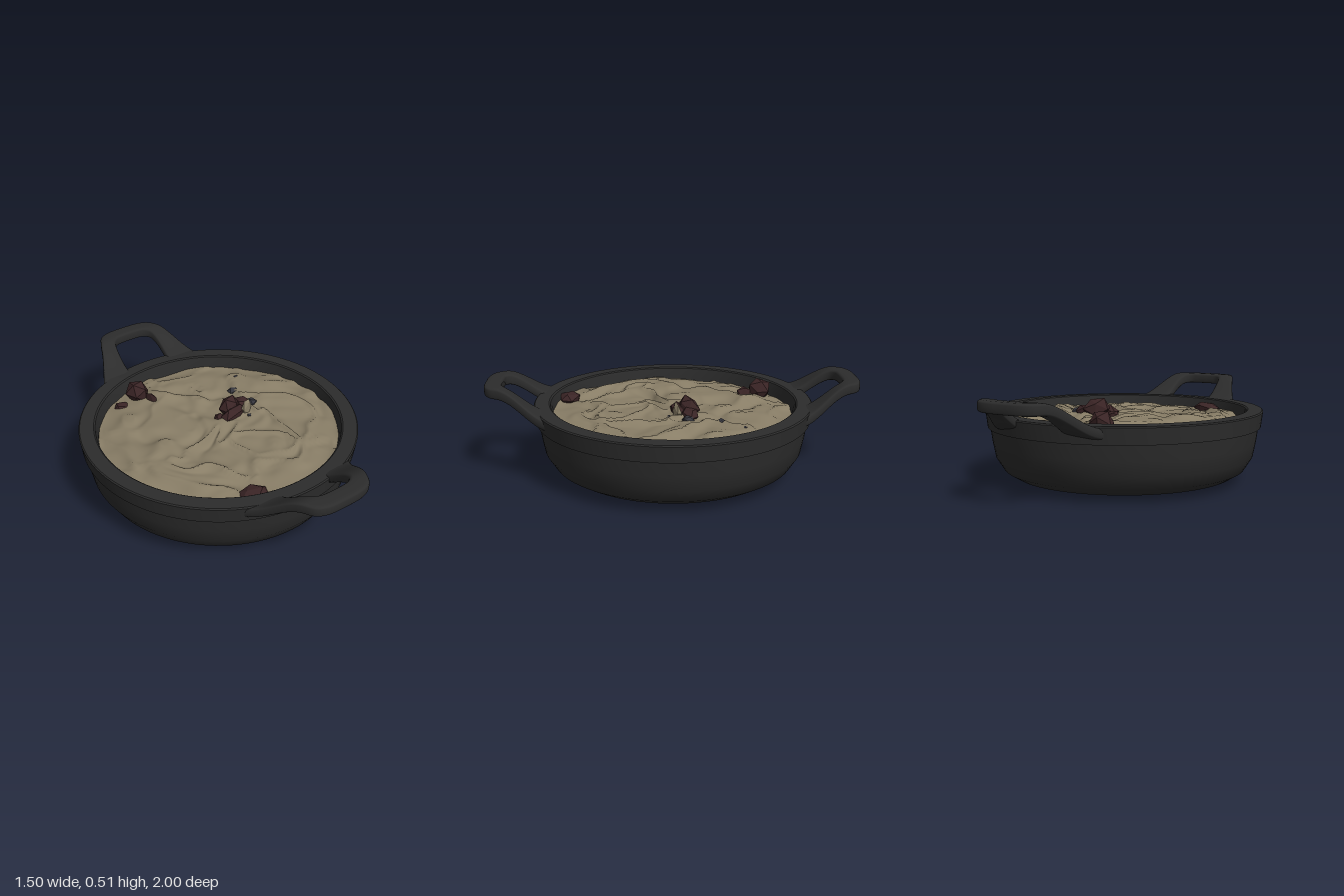
import * as THREE from 'three';
import { mergeVertices, toCreasedNormals } from 'three/addons/utils/BufferGeometryUtils.js';

const mat = (name, color, extra = {}) => {
  const m = new THREE.MeshStandardMaterial({ color, ...extra });
  m.name = name;
  return m;
};

function part(name, geometry, material) {
  const mesh = new THREE.Mesh(geometry, material);
  mesh.name = name;
  return mesh;
}

// Repeatable pseudo-random value for a lattice point
const hash = (x, y, z = 0) => {
  const s = Math.sin(x * 127.1 + y * 311.7 + z * 74.7) * 43758.5453;
  return s - Math.floor(s);
};

// Smooth value noise, 0..1
function noise(x, y) {
  const i = Math.floor(x), j = Math.floor(y);
  const u = THREE.MathUtils.smoothstep(x - i, 0, 1);
  const v = THREE.MathUtils.smoothstep(y - j, 0, 1);
  const lerp = THREE.MathUtils.lerp;
  return lerp(lerp(hash(i, j), hash(i + 1, j), u), lerp(hash(i, j + 1), hash(i + 1, j + 1), u), v);
}

// Height of the lumpy stew surface: warped noise with soft creases, sinking at the back edge
function stewHeight(x, z) {
  const wx = x * 8 + 1.8 * noise(x * 6 + 9, z * 6);
  const wz = z * 8 + 1.8 * noise(x * 6, z * 6 + 17);
  const ridge = 1 - Math.abs(2 * noise(wx + 30, wz + 5) - 1);
  const rim = THREE.MathUtils.smoothstep(Math.hypot(x, z), 0.48, 0.65);
  const lumps = 0.034 * (noise(wx, wz) - 0.4) + 0.024 * ridge ** 3 + 0.014 * noise(wx * 2, wz * 2);
  return 0.329 - rim * (0.015 - 0.014 * z) + (1 - 0.5 * rim) * lumps;
}

// Pan body: outside, rim band, inside wall and floor in one turned profile
function panGeometry() {
  const profile = [
    [0, 0], [0.38, 0.002], [0.5, 0.012], [0.594, 0.032], [0.654, 0.068], [0.698, 0.138],
    [0.714, 0.22], [0.725, 0.297], [0.738, 0.299], [0.748, 0.382], [0.742, 0.388],
    [0.668, 0.39], [0.66, 0.384], [0.648, 0.33], [0.635, 0.2], [0.58, 0.08], [0.45, 0.045], [0, 0.045],
  ].map(([r, y]) => new THREE.Vector2(r, y));
  return toCreasedNormals(new THREE.LatheGeometry(profile, 96), 0.6);
}

// Loop handle: rounded sections strung between an outer and an inner outline
function handleGeometry() {
  const outline = (half) => {
    const mirrored = half.slice(0, -1).reverse().map(([x, z]) => [-x, z]);
    return new THREE.CatmullRomCurve3([...half, ...mirrored].map(([x, z]) => new THREE.Vector3(x, 0, z)));
  };
  const outer = outline([[0.345, 0.645], [0.29, 0.735], [0.237, 0.83], [0.2, 0.91], [0.166, 0.966], [0.11, 0.993], [0, 1]]);
  const inner = outline([[0.13, 0.68], [0.137, 0.75], [0.132, 0.83], [0.117, 0.878], [0.085, 0.902], [0.05, 0.907], [0, 0.908]]);
  const rise = (z) => 0.35 + 0.13 * THREE.MathUtils.smoothstep(z, 0.65, 0.92);
  const stations = 60, sides = 20, positions = [], index = [];
  const squash = (v) => Math.sign(v) * Math.abs(v) ** 0.45;
  for (let i = 0; i <= stations; i++) {
    const a = outer.getPoint(i / stations), b = inner.getPoint(i / stations);
    const mid = a.clone().add(b).multiplyScalar(0.5), reach = a.clone().sub(mid);
    for (let j = 0; j < sides; j++) {
      const t = (j / sides) * Math.PI * 2;
      const p = mid.clone().addScaledVector(reach, squash(Math.cos(t)));
      positions.push(p.x, rise(p.z) + 0.03 * squash(Math.sin(t)), p.z);
      if (i === stations) continue;
      const k = i * sides + j, n = i * sides + ((j + 1) % sides);
      index.push(k, n, k + sides, n, n + sides, k + sides);
    }
  }
  const g = new THREE.BufferGeometry();
  g.setAttribute('position', new THREE.Float32BufferAttribute(positions, 3));
  g.setIndex(index);
  g.computeVertexNormals();
  return g;
}

// Stew surface: a disc pushed up and down by the height rule
function stewGeometry() {
  let g = new THREE.RingGeometry(0, 0.65, 140, 70).rotateX(-Math.PI / 2);
  g.deleteAttribute('uv');
  g.deleteAttribute('normal');
  g = mergeVertices(g);
  const p = g.attributes.position;
  for (let i = 0; i < p.count; i++) p.setY(i, stewHeight(p.getX(i), p.getZ(i)));
  g.computeVertexNormals();
  return g;
}

// Craggy lump with the given half sizes
function chunkGeometry(sx, sy, sz, seed) {
  const g = new THREE.IcosahedronGeometry(1, 0);
  const p = g.attributes.position, v = new THREE.Vector3();
  for (let i = 0; i < p.count; i++) {
    v.fromBufferAttribute(p, i);
    const r = 0.85 + 0.35 * hash(Math.round(v.x * 50) + seed, Math.round(v.y * 50), Math.round(v.z * 50));
    p.setXYZ(i, v.x * r * sx, v.y * r * sy, v.z * r * sz);
  }
  g.computeVertexNormals();
  return g;
}

export function createModel() {
  const iron = mat('cast iron', 0x2c2c2c);
  const cream = mat('cream stew', 0x887d66, { side: THREE.DoubleSide });
  const brown = mat('dark meat', 0x3a2425, { flatShading: true });
  const slate = mat('slate garnish', 0x34343b, { flatShading: true });

  const model = new THREE.Group();
  model.name = 'servingPan';
  model.add(part('panBody', panGeometry(), iron));

  // Front and back handles
  const handle = handleGeometry();
  ['frontHandle', 'backHandle'].forEach((name, i) => {
    const mesh = part(name, handle, iron);
    mesh.rotation.y = i * Math.PI;
    model.add(mesh);
  });

  model.add(part('stew', stewGeometry(), cream));

  // Lumps: x, y, z, half sizes, turn
  const chunks = [
    [0.13, 0.38, -0.075, 0.072, 0.062, 0.052, 0.4],
    [0.13, 0.36, -0.025, 0.095, 0.045, 0.045, 0.2],
    [0.21, 0.36, -0.075, 0.06, 0.04, 0.045, 0.5],
    [0.04, 0.348, -0.05, 0.035, 0.022, 0.025, 0.5],
    [-0.2, 0.372, -0.5, 0.062, 0.064, 0.065, 0.3],
    [-0.17, 0.358, -0.41, 0.014, 0.045, 0.045, 0.3],
    [-0.32, 0.322, -0.49, 0.05, 0.022, 0.04, 0.4],
    [-0.2, 0.342, 0.57, 0.085, 0.035, 0.065, -0.3],
  ];
  const garnish = [
    [0.275, 0.34, -0.235, 0.034, 0.018, 0.03, 0],
    [0.275, 0.355, -0.065, 0.032, 0.026, 0.034, 0.6],
    [0.19, 0.342, 0.03, 0.02, 0.014, 0.014, 0.2],
    [0.375, 0.34, -0.345, 0.018, 0.01, 0.012, 0],
  ];
  const flakes = [[0.2, 0.376, -0.01, 0.042, 0.054, 0.018, 0.3]];
  const scatter = (name, list, material) => list.forEach(([x, y, z, sx, sy, sz, turn], i) => {
    const mesh = part(name, chunkGeometry(sx, sy, sz, i * 7 + 3), material);
    mesh.position.set(x, y, z);
    mesh.rotation.y = turn;
    model.add(mesh);
  });
  scatter('meatChunk', chunks, brown);
  scatter('garnishBit', garnish, slate);
  scatter('stewFlake', flakes, cream);
  return model;
}
